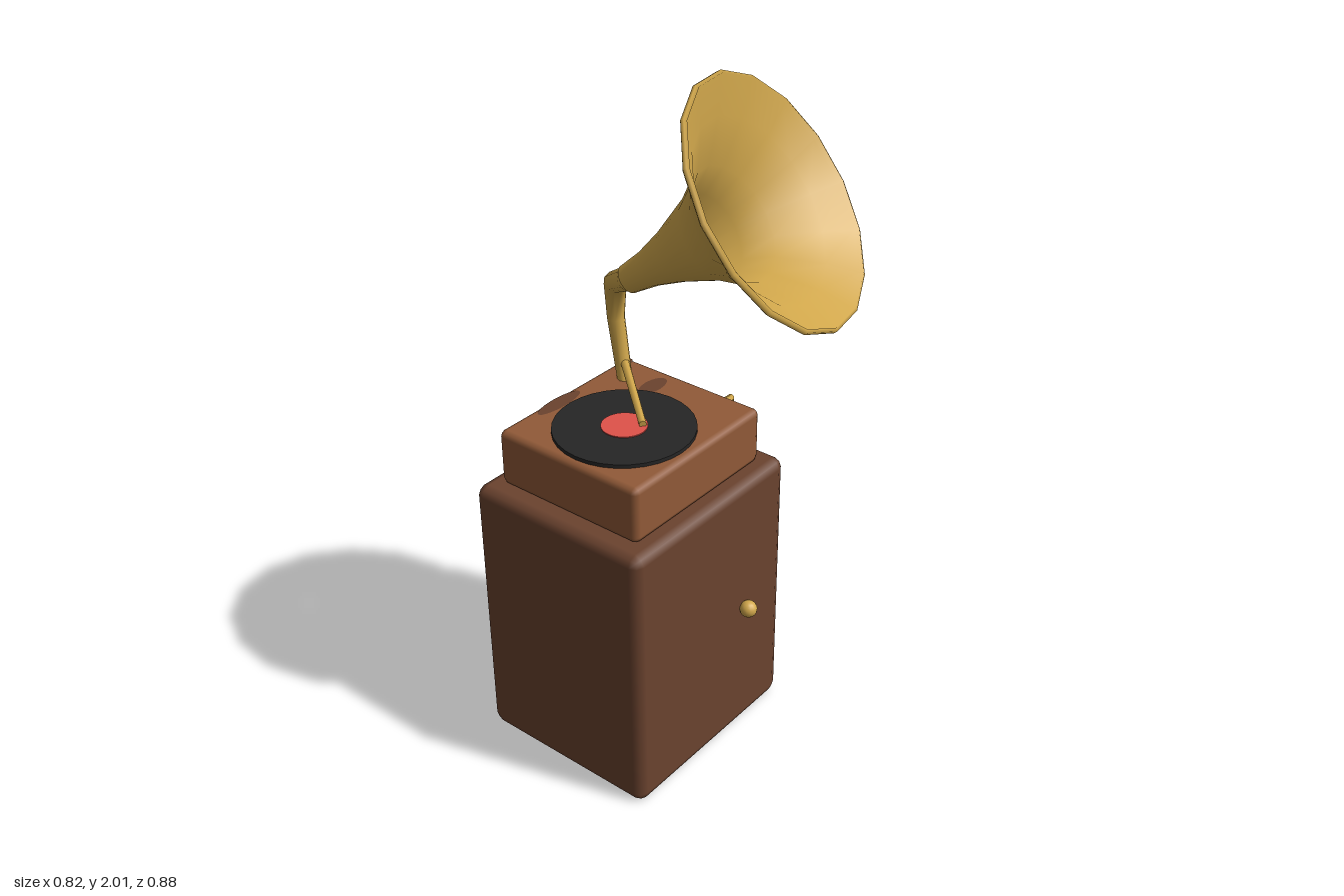
import * as THREE from 'three';
import { RoundedBoxGeometry } from 'three/addons/geometries/RoundedBoxGeometry.js';

const material = (name, color, extra = {}) => {
  const m = new THREE.MeshStandardMaterial({ color, ...extra });
  m.name = name;
  return m;
};

// Sharp-cornered path: one tube ring per point
class Polyline extends THREE.Curve {
  constructor(points) {
    super();
    this.points = points.map((p) => new THREE.Vector3(...p));
  }
  getPoint(t, target = new THREE.Vector3()) {
    const n = this.points.length - 1;
    const i = Math.min(Math.floor(t * n + 1e-6), n - 1);
    return target.lerpVectors(this.points[i], this.points[i + 1], t * n - i);
  }
  getPointAt(t, target) { return this.getPoint(t, target); }
  getTangentAt(t, target = new THREE.Vector3()) {
    const n = this.points.length - 1, i = Math.round(t * n), p = this.points;
    const dir = (a, b) => p[b].clone().sub(p[a]).normalize();
    target.set(0, 0, 0);
    if (i > 0) target.add(dir(i - 1, i));
    if (i < n) target.add(dir(i, i + 1));
    return target.normalize();
  }
}

// Tube whose radius changes from point to point
function taperedTube(points, radii, sides) {
  const path = new Polyline(points);
  const geo = new THREE.TubeGeometry(path, points.length - 1, 1, sides);
  const pos = geo.attributes.position, v = new THREE.Vector3();
  for (let i = 0; i < pos.count; i++) {
    const ring = Math.floor(i / (sides + 1)), c = path.points[ring];
    v.fromBufferAttribute(pos, i).sub(c).multiplyScalar(radii[ring]).add(c);
    pos.setXYZ(i, v.x, v.y, v.z);
  }
  geo.computeVertexNormals();
  return geo;
}

export function createModel() {
  const model = new THREE.Group();
  model.name = 'gramophone';
  const darkWood = material('dark wood', 0x6b432f);
  const lightWood = material('light wood', 0x915a38);
  const brass = material('brass', 0xd2a84c, { side: THREE.DoubleSide });
  const black = material('black vinyl', 0x262626);
  const red = material('red label', 0xe0524a);

  const add = (name, geo, mat, x = 0, y = 0, z = 0) => {
    const mesh = new THREE.Mesh(geo, mat);
    mesh.name = name;
    mesh.position.set(x, y, z);
    model.add(mesh);
    return mesh;
  };
  // Straight rod between two points
  const rod = (name, a, b, r, r2 = r) => {
    const from = new THREE.Vector3(...a), to = new THREE.Vector3(...b);
    const dir = to.clone().sub(from);
    const mesh = add(name, new THREE.CylinderGeometry(r2, r, dir.length(), 8), brass);
    mesh.position.copy(from).add(to).multiplyScalar(0.5);
    mesh.quaternion.setFromUnitVectors(new THREE.Vector3(0, 1, 0), dir.normalize());
  };

  // Cabinet and turntable case
  add('cabinet', new RoundedBoxGeometry(0.66, 0.855, 0.59, 1, 0.03), darkWood, -0.08, 0.4275, -0.145);
  add('turntableCase', new RoundedBoxGeometry(0.54, 0.17, 0.49, 1, 0.018), lightWood, -0.08, 0.94, -0.145);
  add('doorKnob', new THREE.SphereGeometry(0.026, 14, 10), brass, 0.06, 0.435, 0.17);

  // Dark patches in the case top
  for (const [x, z, w, d] of [[-0.137, -0.36, 0.085, 0.024], [0.1, -0.215, 0.055, 0.028], [0.158, -0.367, 0.026, 0.018]]) {
    const patch = add('woodPatch', new THREE.CircleGeometry(1, 16), darkWood, x, 1.0265, z);
    patch.rotation.x = -Math.PI / 2;
    patch.scale.set(w, d, 1);
  }

  // Record
  add('record', new THREE.CylinderGeometry(0.2, 0.2, 0.012, 32), black, -0.13, 1.03, -0.125);
  add('recordLabel', new THREE.CylinderGeometry(0.065, 0.065, 0.003, 32), red, -0.13, 1.0375, -0.125);

  // Tone arm and crank
  rod('toneArm', [0.09, 1.075, -0.31], [-0.105, 1.045, -0.08], 0.013, 0.011);
  const crank = [[0.17, 0.943, -0.086], [0.298, 0.943, -0.086], [0.298, 0.836, -0.086], [0.357, 0.836, -0.086]];
  add('crank', taperedTube(crank, [0.01, 0.0125, 0.0125, 0.01], 8), brass);

  // Bent pipe that carries the horn
  const neck = new THREE.Vector3(-0.032, 1.424, -0.183);
  const rim = new THREE.Vector3(0.066, 1.72, 0.225);
  const axis = rim.clone().sub(neck).normalize();
  const inside = (d) => neck.clone().addScaledVector(axis, d).toArray();
  add('hornPipe', taperedTube(
    [[0.085, 1.0, -0.303], [0.108, 1.2, -0.355], [0.066, 1.338, -0.317], inside(0.0), inside(0.07), inside(0.071)],
    [0.022, 0.026, 0.033, 0.036, 0.036, 0.0005], 10), brass);

  // Flared horn: outer wall, rolled rim, inner wall
  const outer = [[0.041, 0], [0.052, 0.08], [0.075, 0.165], [0.122, 0.29], [0.166, 0.365], [0.265, 0.452], [0.345, 0.5]];
  const lip = [[0.353, 0.507], [0.352, 0.517], [0.343, 0.52]];
  const inner = outer.map(([r, h]) => [r - 0.006, h + 0.008]).reverse();
  const profile = [...outer, ...lip, ...inner].map(([r, h]) => new THREE.Vector2(r, h));
  const horn = add('horn', new THREE.LatheGeometry(profile, 16), brass);
  horn.position.copy(neck);
  horn.quaternion.setFromUnitVectors(new THREE.Vector3(0, 1, 0), axis);

  return model;
}
